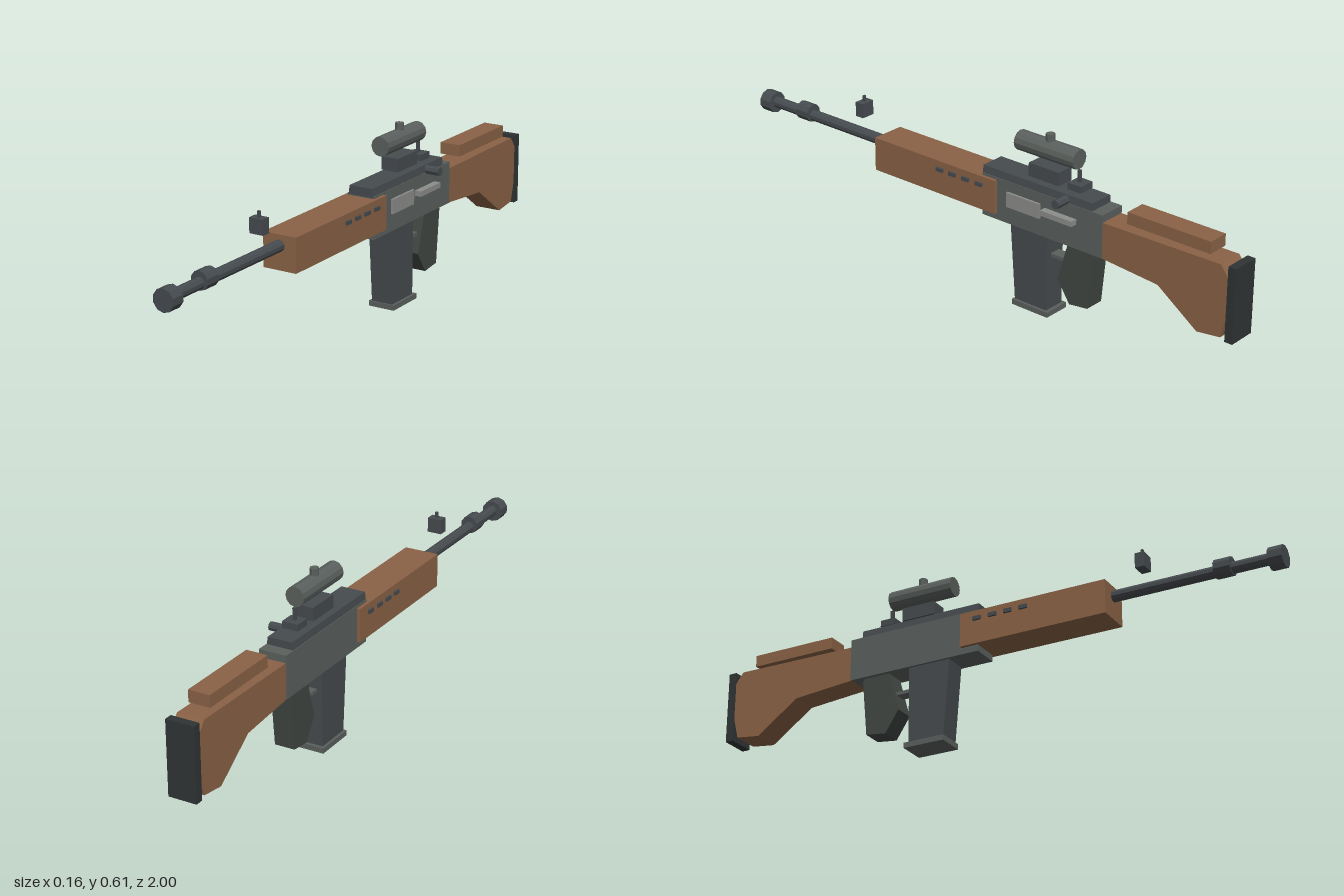
import * as THREE from 'three';

const CX = -0.016; // the weapon's centre plane

const mat = (color) => new THREE.MeshStandardMaterial({ color, flatShading: true });
const wood = mat(0x8a6246);
const steel = mat(0x5a605d);
const dark = mat(0x464b4f);
const gripMat = mat(0x414743);
const rubber = mat(0x2f3434);
const bright = mat(0x8c8e8b);

export function createModel() {
  const group = new THREE.Group();

  const add = (name, geometry, material) => {
    const mesh = new THREE.Mesh(geometry, material);
    mesh.name = name;
    group.add(mesh);
    return mesh;
  };

  // Box given by its extents on each axis
  const box = (name, [x0, x1], [y0, y1], [z0, z1], material) => {
    const g = new THREE.BoxGeometry(x1 - x0, y1 - y0, z1 - z0);
    g.translate((x0 + x1) / 2, (y0 + y1) / 2, (z0 + z1) / 2);
    return add(name, g, material);
  };

  // Side profile of [z, y] points, extruded across the width
  const profile = (name, points, width, material) => {
    const shape = new THREE.Shape(points.map(([z, y]) => new THREE.Vector2(z, y)));
    const g = new THREE.ExtrudeGeometry(shape, { depth: width, bevelEnabled: false });
    g.translate(0, 0, -width / 2).rotateY(-Math.PI / 2).translate(CX, 0, 0);
    return add(name, g, material);
  };

  // Faceted cylinder lying along z
  const rod = (name, r, y, [z0, z1], sides, material) => {
    const g = new THREE.CylinderGeometry(r, r, z1 - z0, sides);
    g.rotateX(Math.PI / 2).translate(CX, y, (z0 + z1) / 2);
    return add(name, g, material);
  };

  const across = (w) => [CX - w / 2, CX + w / 2];

  // Receiver and its top cover, narrowed slightly towards the top
  box('receiver', across(0.096), [0.28, 0.425], [-0.51, -0.03], steel);
  const cover = box('topCover', across(0.093), [0.42, 0.45], [-0.468, -0.03], dark);
  const p = cover.geometry.attributes.position;
  for (let i = 0; i < p.count; i++) {
    if (p.getY(i) > 0.44) p.setX(i, CX + (p.getX(i) - CX) * 0.92);
  }
  cover.geometry.computeVertexNormals();

  // Ejection port and side rail on the left
  box('ejectionPort', [0.028, 0.04], [0.34, 0.39], [-0.268, -0.135], bright);
  box('sideRail', [0.03, 0.056], [0.363, 0.381], [-0.41, -0.285], bright);

  // Charging handle
  const handle = new THREE.CylinderGeometry(0.015, 0.015, 0.06, 8);
  handle.rotateZ(Math.PI / 2).translate(0.051, 0.433, -0.365);
  add('chargingHandle', handle, dark);

  // Handguard with vents on both sides
  box('handguard', across(0.12), [0.302, 0.417], [-0.09, 0.427], wood);
  for (const z of [0.14, 0.085, 0.03, -0.027]) {
    for (const side of [-1, 1]) {
      const x = CX + side * 0.062;
      box('vent', [x - 0.005, x + 0.005], [0.382, 0.395], [z - 0.014, z + 0.014], dark);
    }
  }

  // Barrel, collar and muzzle
  rod('barrel', 0.019, 0.382, [0.4, 0.98], 10, dark);
  rod('barrelCollar', 0.031, 0.389, [0.775, 0.83], 10, dark);
  rod('muzzle', 0.037, 0.38, [0.953, 1], 10, dark);

  // Front and rear sights
  box('frontSight', across(0.05), [0.45, 0.5], [0.515, 0.547], dark);
  box('frontSightPost', across(0.009), [0.5, 0.52], [0.527, 0.535], dark);
  box('rearSight', across(0.056), [0.46, 0.482], [-0.41, -0.357], dark);
  box('rearSightPost', across(0.01), [0.48, 0.522], [-0.387, -0.377], dark);

  // Scope with mount and adjustment knob
  box('scopeMount', across(0.062), [0.46, 0.505], [-0.325, -0.205], dark);
  rod('scope', 0.033, 0.556, [-0.38, -0.145], 12, steel);
  const knob = new THREE.CylinderGeometry(0.015, 0.015, 0.03, 8);
  knob.translate(CX, 0.595, -0.265);
  add('scopeKnob', knob, steel);

  // Magazine and base plate
  profile('magazine', [[-0.14, 0.285], [-0.16, 0.016], [-0.288, 0.016], [-0.29, 0.285]], 0.078, dark);
  box('magazineBase', across(0.096), [0, 0.018], [-0.3, -0.155], steel);

  // Trigger guard and grip
  box('triggerGuard', across(0.04), [0.203, 0.215], [-0.36, -0.285], steel);
  profile('grip', [
    [-0.37, 0.285], [-0.33, 0.145], [-0.378, 0.071], [-0.45, 0.08], [-0.468, 0.268], [-0.46, 0.285],
  ], 0.07, gripMat);

  // Stock, cheek rest and butt pad
  profile('stock', [
    [-0.505, 0.4], [-0.505, 0.28], [-0.722, 0.262], [-0.87, 0.157], [-0.955, 0.168],
    [-0.975, 0.25], [-0.975, 0.365], [-0.945, 0.405],
  ], 0.092, wood);
  box('cheekRest', across(0.074), [0.42, 0.46], [-0.9, -0.595], wood);
  box('buttPad', across(0.097), [0.16, 0.408], [-1, -0.972], rubber);

  return group;
}
